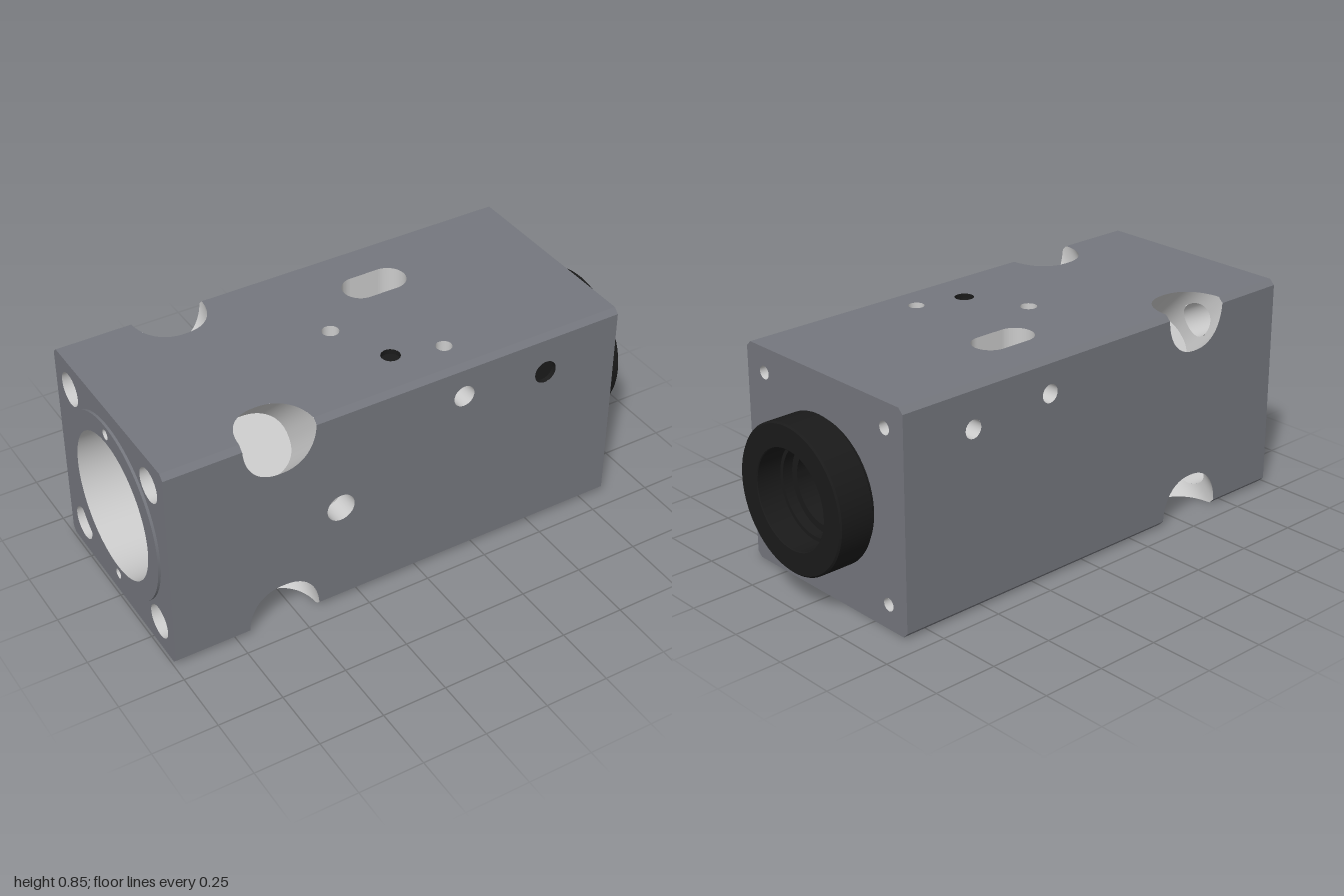
import * as THREE from 'three';
import { toCreasedNormals } from 'three/addons/utils/BufferGeometryUtils.js';
import { ParametricGeometry } from 'three/addons/geometries/ParametricGeometry.js';

const H = 0.4225, X0 = -0.99, X1 = 0.845, C = 0.02;          // half height, block ends, chamfer
const BORE = 0.26;                                           // main bore radius
const POCKET = { x: -0.555, a: 0.142, b: 0.12, n: 2.3, floor: 0.283 };
const SCREW = { d: 0.163, r: 0.065 };                        // access hole into each pocket
const SLOT = { x: 0.183, z: 0.18, half: 0.058, r: 0.07 };
const R2 = Math.SQRT1_2, TAU = Math.PI * 2;

const mat = (color) => new THREE.MeshStandardMaterial({ color, side: THREE.DoubleSide });
const body = mat(0x75777e), bare = mat(0xcccccc), black = mat(0x1a1a1a);

function add(parent, name, geometry, material) {
  const mesh = new THREE.Mesh(geometry, material);
  mesh.name = name;
  parent.add(mesh);
  return mesh;
}

// surface f(s, t) with t running from lo(s) to hi(s)
function surface(f, lo, hi, slices, stacks = 1) {
  return new ParametricGeometry((u, v, p) => {
    const a = lo(u), b = hi(u);
    p.set(...f(u, a + (b - a) * v));
  }, slices, stacks);
}

// turned part around the x axis; profile points are [x, radius]
function turned(profile) {
  const g = new THREE.LatheGeometry(profile.map(([x, r]) => new THREE.Vector2(r, x)), 96);
  g.rotateZ(-Math.PI / 2);
  return toCreasedNormals(g, 0.5);
}

function circlePath(x, y, r) {
  return new THREE.Path().absarc(x, y, r, 0, TAU, true);
}

// round blind hole sunk below a face at z
function blindHole(parent, x, y, z, r, depth, material, floorMaterial = material) {
  const wall = new THREE.CylinderGeometry(r, r, depth, 32, 1, true).rotateX(Math.PI / 2);
  add(parent, 'holeWall', wall, material).position.set(x, y, z - depth / 2);
  add(parent, 'holeFloor', new THREE.CircleGeometry(r, 32), floorMaterial).position.set(x, y, z - depth);
}

// rounded cross-section of a corner pocket: [x offset, sideways offset]
function pocketPoint(angle) {
  const c = Math.cos(angle), s = Math.sin(angle), e = 2 / POCKET.n;
  return [Math.sign(c) * POCKET.a * Math.abs(c) ** e, Math.sign(s) * POCKET.b * Math.abs(s) ** e];
}

// x, depth below the edge and sideways offset to position
const diagonal = (x, d, v) => [x, H - (d - v) * R2, H - (d + v) * R2];

// side panel with notches where the pockets break through
function panelShape() {
  const shape = new THREE.Shape();
  const top = [[X0, H - C]];
  for (let i = 0; i <= 48; i++) {
    const [x, v] = pocketPoint(Math.PI * (1 - i / 48));
    top.push([POCKET.x + x, H - Math.max(C, Math.abs(v) / R2)]);
  }
  top.push([X1, H - C]);
  const bottom = top.map(([x, y]) => [x, -y]).reverse();
  shape.setFromPoints([...top, ...bottom].map(([x, y]) => new THREE.Vector2(x, y)));
  return shape;
}

function slotPoints(y) {
  const pts = [];
  for (let i = 0; i < 64; i++) {
    const t = (i + 0.5) / 64 * TAU, c = Math.cos(t);
    pts.push(new THREE.Vector2(SLOT.x + Math.sign(c) * SLOT.half + SLOT.r * c, y + SLOT.r * Math.sin(t)));
  }
  return pts;
}

function cornerPocket() {
  const g = new THREE.Group();
  g.name = 'cornerPocket';
  const at = (s) => pocketPoint(s * TAU);
  const f = (s, d) => diagonal(POCKET.x + at(s)[0], d, at(s)[1]);
  const gap = (s) => {
    const [x, v] = at(s);
    return x < 0 ? Math.sqrt(Math.max(0, SCREW.r ** 2 - v * v)) : 0;
  };
  // wall in two bands, parting around the screw hole
  add(g, 'pocketUpperWall', surface(f, (s) => Math.max(Math.abs(at(s)[1]), C * R2), (s) => SCREW.d - gap(s), 160), bare);
  add(g, 'pocketLowerWall', surface(f, (s) => SCREW.d + gap(s), () => POCKET.floor, 160), bare);
  add(g, 'pocketFloor', surface((s, k) => diagonal(POCKET.x + at(s)[0] * k, POCKET.floor, at(s)[1] * k),
    () => 0.001, () => 1, 64), bare);
  // screw hole from the left end
  add(g, 'screwHole', surface(
    (s, x) => diagonal(x, SCREW.d + SCREW.r * Math.cos(s * TAU), SCREW.r * Math.sin(s * TAU)),
    () => X0,
    (s) => POCKET.x - POCKET.a * (1 - Math.abs(SCREW.r * Math.sin(s * TAU) / POCKET.b) ** POCKET.n) ** (1 / POCKET.n),
    48), bare);
  return g;
}

// one long side: holes are [x, y, radius, depth, material], slotY places the slot
function side(turn, name, holes, slotY) {
  const g = new THREE.Group();
  g.name = name;
  g.rotation.x = turn;
  const shape = panelShape();
  for (const [x, y, r, depth, m, fm] of holes) {
    shape.holes.push(circlePath(x, y, r));
    blindHole(g, x, y, H, r, depth, m, fm);
  }
  if (slotY !== undefined) {
    const pts = slotPoints(slotY);
    shape.holes.push(new THREE.Path(pts));
    const at = (s) => pts[Math.round(s * 64) % 64];
    add(g, 'slotWall', surface((s, z) => [at(s).x, at(s).y, z], () => H,
      (s) => Math.sqrt(Math.max(0, BORE ** 2 - at(s).y ** 2)), 64), bare);
  }
  add(g, 'panel', new THREE.ShapeGeometry(shape, 24), body).position.z = H;
  // chamfered edge on both sides of the pocket
  for (const [a, b] of [[X0, POCKET.x - POCKET.a], [POCKET.x + POCKET.a, X1]]) {
    const strip = add(g, 'chamfer', new THREE.PlaneGeometry(b - a, C / R2), body);
    strip.rotation.x = -Math.PI / 4;
    strip.position.set((a + b) / 2, H - C / 2, H - C / 2);
  }
  g.add(cornerPocket());
  return g;
}

// end plate with a central opening and four corner holes
function endPlate(name, x, opening, offset, r) {
  const q = H - C;
  const shape = new THREE.Shape([[-q, -H], [q, -H], [H, -q], [H, q], [q, H], [-q, H], [-H, q], [-H, -q]]
    .map((p) => new THREE.Vector2(...p)));
  shape.holes.push(circlePath(0, 0, opening));
  for (const sx of [-1, 1]) for (const sy of [-1, 1]) shape.holes.push(circlePath(sx * offset, sy * offset, r));
  const g = new THREE.Group();
  g.name = name;
  g.position.x = x;
  g.rotation.y = Math.sign(x) * Math.PI / 2;
  add(g, 'endFace', new THREE.ShapeGeometry(shape, 32), body);
  return g;
}

export function createModel() {
  const model = new THREE.Group();
  model.name = 'housing';
  const block = new THREE.Group();
  block.name = 'block';
  block.position.y = H;
  model.add(block);

  // four long sides
  const front = side(0, 'frontSide', [
    [-0.32, 0, 0.055, 0.09, bare], [0.185, 0.29, 0.042, 0.14, bare], [0.535, 0.262, 0.045, 0.02, black]]);
  add(front, 'setScrew', new THREE.CylinderGeometry(0.025, 0.025, 0.03, 24).rotateX(Math.PI / 2), bare)
    .position.set(-0.32, 0, H - 0.08);
  block.add(front);
  block.add(side(Math.PI, 'backSide', [[0.185, -0.29, 0.035, 0.14, bare], [0.54, -0.262, 0.035, 0.14, bare]]));
  block.add(side(-Math.PI / 2, 'topSide', [
    [-0.11, 0, 0.032, 0.14, bare], [-0.005, -0.235, 0.036, 0.02, black], [0.185, -0.285, 0.03, 0.14, bare, black]], SLOT.z));
  block.add(side(Math.PI / 2, 'bottomSide', [
    [-0.11, 0, 0.032, 0.14, bare], [-0.005, 0.235, 0.03, 0.14, bare], [0.185, 0.285, 0.036, 0.02, black]], -SLOT.z));

  // ends
  block.add(endPlate('leftEnd', X0, 0.355, H - SCREW.d * R2, SCREW.r));
  const right = endPlate('rightEnd', X1, 0.2, 0.327, 0.025);
  for (const sx of [-1, 1]) for (const sy of [-1, 1]) blindHole(right, sx * 0.327, sy * 0.327, 0, 0.025, 0.1, bare);
  block.add(right);

  // raised ring with two small holes on the left end
  const lip = new THREE.Group();
  lip.name = 'raisedRing';
  lip.position.x = -1;
  lip.rotation.y = -Math.PI / 2;
  const ring = new THREE.Shape().absarc(0, 0, 0.355, 0, TAU);
  ring.holes.push(circlePath(0, 0, 0.28));
  for (const s of [-1, 1]) {
    ring.holes.push(circlePath(0, s * 0.317, 0.02));
    blindHole(lip, 0, s * 0.317, 0, 0.02, 0.1, bare);
  }
  add(lip, 'ringFace', new THREE.ShapeGeometry(ring, 48), body);
  block.add(lip);
  add(block, 'ringRim', turned([[X0, 0.355], [-1, 0.355]]), body);

  // stepped bore, parted where the slot crosses it
  const s0 = 0.05, s1 = 0.32;
  add(block, 'boreEntry', turned([[-1, 0.28], [-0.5, 0.28], [-0.5, BORE], [s0, BORE]]), bare);
  add(block, 'boreEnd', turned([[s1, BORE], [0.7, BORE], [0.7, 0.142], [0.76, 0.142]]), bare);
  const boreAt = (s, x) => [x, BORE * Math.cos(s * TAU), BORE * Math.sin(s * TAU)];
  const gap = (s) => {
    const dz = boreAt(s, 0)[2] + SLOT.z;
    return Math.abs(dz) < SLOT.r ? SLOT.half + Math.sqrt(SLOT.r ** 2 - dz * dz) : 0;
  };
  add(block, 'boreBeforeSlot', surface(boreAt, () => s0, (s) => SLOT.x - gap(s), 288), bare);
  add(block, 'boreAfterSlot', surface(boreAt, (s) => SLOT.x + gap(s), () => s1, 288), bare);

  // black collar on the right end
  add(block, 'collar', turned([[X1, 0.262], [0.857, 0.262], [0.857, 0.272], [0.863, 0.278], [0.994, 0.278],
    [1, 0.272], [1, 0.188], [0.997, 0.185], [0.9, 0.185], [0.9, 0.17], [0.86, 0.17], [0.86, 0.142], [0.76, 0.142]]), black);
  return model;
}
